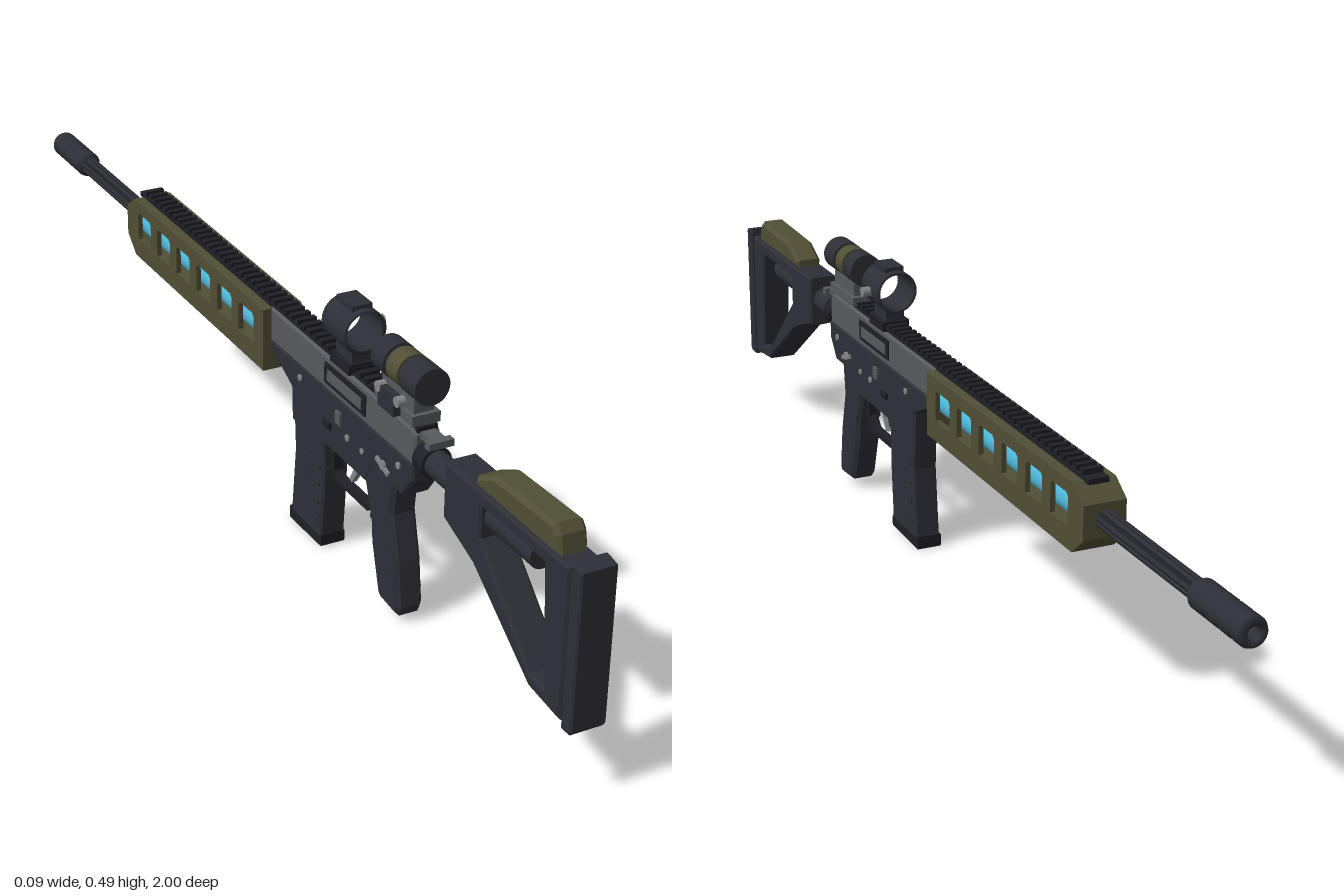
import * as THREE from 'three';

const mat = (name, color, opts = {}) => {
  const m = new THREE.MeshStandardMaterial({ color, ...opts });
  m.name = name;
  return m;
};

export function createModel() {
  const dark = mat('charcoal polymer', 0x2e2e37);
  const black = mat('black metal', 0x1f1f26);
  const olive = mat('olive', 0x504e35);
  const grey = mat('receiver grey', 0x57595d);
  const light = mat('light steel', 0x85858a);
  const blue = mat('blue tube', 0x4fb9dc);

  const root = new THREE.Group();
  root.name = 'rifle';
  const add = (name, geo, material, x = 0, y = 0, z = 0) => {
    const m = new THREE.Mesh(geo, material);
    m.name = name;
    m.position.set(x, y, z);
    root.add(m);
    return m;
  };
  const box = (name, material, w, h, d, x, y, z) => add(name, new THREE.BoxGeometry(w, h, d), material, x, y, z);
  // Side profile of [z, y] points, extruded evenly across x
  const slab = (name, material, pts, width, { holes = [], bevel = 0, x = 0 } = {}) => {
    const v = (list) => list.map(([a, b]) => new THREE.Vector2(a, b));
    const shape = new THREE.Shape(v(pts));
    holes.forEach((h) => shape.holes.push(new THREE.Path(v(h))));
    const depth = width - 2 * bevel;
    const geo = new THREE.ExtrudeGeometry(shape, {
      depth, bevelEnabled: bevel > 0, bevelSize: bevel, bevelThickness: bevel, bevelOffset: -bevel, bevelSegments: 1,
    });
    geo.translate(0, 0, -depth / 2).rotateY(-Math.PI / 2);
    return add(name, geo, material, x);
  };
  // Cylinder along z from z0 to z1
  const rod = (name, material, r, z0, z1, y, sides = 24) =>
    add(name, new THREE.CylinderGeometry(r, r, Math.abs(z1 - z0), sides).rotateX(Math.PI / 2), material, 0, y, (z0 + z1) / 2);
  // Cylinder along x
  const pin = (name, material, r, len, x, y, z, sides = 16) =>
    add(name, new THREE.CylinderGeometry(r, r, len, sides).rotateZ(Math.PI / 2), material, x, y, z);
  // Hollow tube or stepped round part along z, from [radius, z] points
  const lathe = (name, material, pts, y) =>
    add(name, new THREE.LatheGeometry(pts.map(([r, z]) => new THREE.Vector2(r, z)), 32).rotateX(Math.PI / 2), material, 0, y, 0);

  // Stock: frame with open triangle, butt pad, cheek rest, buffer tube
  slab('stockFrame', dark, [[0.967, 0.374], [0.63, 0.374], [0.63, 0.278], [0.72, 0.245], [0.885, 0.128], [0.967, 0.12]], 0.058, {
    bevel: 0.004,
    holes: [[[0.905, 0.35], [0.735, 0.35], [0.735, 0.295], [0.86, 0.175], [0.885, 0.15], [0.922, 0.147]]],
  });
  slab('buttPad', dark, [[1, 0.383], [0.973, 0.388], [0.973, 0.112], [0.994, 0.112], [1, 0.12]], 0.061, { bevel: 0.003 });
  box('buttSpacer', black, 0.05, 0.24, 0.012, 0, 0.25, 0.969);
  slab('cheekRest', olive, [[0.936, 0.372], [0.93, 0.404], [0.918, 0.418], [0.76, 0.413], [0.71, 0.388], [0.71, 0.372]], 0.051, { bevel: 0.007 });
  rod('bufferTube', dark, 0.022, 0.86, 0.52, 0.328);
  rod('bufferRing', black, 0.027, 0.56, 0.53, 0.328);

  // Upper receiver with ports on both sides and charging handle
  slab('upperReceiver', grey, [[0.53, 0.31], [0.53, 0.366], [0.52, 0.375], [0.03, 0.375], [0.03, 0.31]], 0.046, { bevel: 0.004 });
  box('chargingHandle', grey, 0.026, 0.012, 0.05, 0, 0.366, 0.548);
  box('chargingLatch', grey, 0.044, 0.012, 0.014, 0, 0.366, 0.566);
  for (const s of [-1, 1]) {
    box('portFrame', black, 0.004, 0.038, 0.14, s * 0.0235, 0.345, 0.305);
    box('portCover', grey, 0.004, 0.02, 0.116, s * 0.025, 0.344, 0.305);
  }

  // Lower receiver, grip, magazine
  slab('lowerReceiver', dark, [[0.53, 0.318], [0.035, 0.318], [0.035, 0.3], [0.115, 0.262], [0.118, 0.2], [0.235, 0.195], [0.24, 0.21],
    [0.38, 0.21], [0.4, 0.245], [0.5, 0.245], [0.53, 0.285]], 0.051, { bevel: 0.004 });
  slab('grip', dark, [[0.472, 0.26], [0.373, 0.26], [0.373, 0.215], [0.396, 0.15], [0.4, 0.11], [0.425, 0.025], [0.435, 0.018],
    [0.488, 0.014], [0.494, 0.03], [0.484, 0.11], [0.464, 0.19]], 0.048, { bevel: 0.007 });
  slab('magazine', dark, [[0.232, 0.21], [0.122, 0.21], [0.126, 0.15], [0.112, 0.012], [0.222, 0.012], [0.232, 0.13]], 0.047, { bevel: 0.004 });
  slab('magazineBase', black, [[0.224, 0.024], [0.107, 0.024], [0.107, 0], [0.224, 0.003]], 0.049, { bevel: 0.002 });
  for (let i = 0; i < 4; i++) {
    const y = 0.05 + i * 0.036;
    box('magazineRib', dark, 0.051, 0.008, 0.085, 0, y, 0.171 + i * 0.003);
    box('gripRib', dark, 0.051, 0.007, 0.05, 0, y + 0.005, 0.457 - i * 0.011).rotation.x = -0.2;
  }

  // Trigger and guard
  slab('triggerGuard', black, [[0.385, 0.222], [0.233, 0.222], [0.233, 0.152], [0.245, 0.141], [0.36, 0.141], [0.385, 0.165]], 0.018, {
    holes: [[[0.374, 0.212], [0.242, 0.212], [0.242, 0.157], [0.25, 0.15], [0.355, 0.15], [0.374, 0.17]]],
  });
  slab('trigger', light, [[0.318, 0.215], [0.302, 0.215], [0.304, 0.19], [0.29, 0.165], [0.298, 0.162], [0.314, 0.185]], 0.01);

  // Pins, selector and catches on both sides
  for (const s of [-1, 1]) {
    for (const [z, y, r] of [[0.32, 0.262, 0.006], [0.37, 0.262, 0.005], [0.488, 0.295, 0.006], [0.15, 0.295, 0.006]])
      pin('receiverPin', light, r, 0.005, s * 0.026, y, z);
    pin('selectorHub', light, 0.008, 0.008, s * 0.026, 0.272, 0.44);
    box('selectorLever', light, 0.006, 0.008, 0.042, s * 0.027, 0.27, 0.44).rotation.x = 0.3;
    box('boltCatch', grey, 0.006, 0.022, 0.018, s * 0.027, 0.285, 0.29);
    box('magazineCatch', black, 0.006, 0.012, 0.026, s * 0.027, 0.255, 0.25);
  }

  // Handguard: hollow core, windowed side plates, blue inner tube
  const guard = [[0.03, 0.372], [-0.53, 0.372], [-0.567, 0.347], [-0.567, 0.288], [-0.53, 0.256], [0.03, 0.256]];
  const hollow = [[0.02, 0.36], [-0.53, 0.36], [-0.555, 0.345], [-0.555, 0.29], [-0.53, 0.268], [0.02, 0.268]];
  const windows = [];
  for (let i = 0; i < 6; i++) {
    const c = -0.038 - i * 0.0893, w = 0.03;
    windows.push([[c - w, 0.294], [c + w, 0.294], [c + w, 0.343], [c + w - 0.006, 0.349], [c - w + 0.006, 0.349], [c - w, 0.343]]);
  }
  slab('handguardCore', olive, guard, 0.056, { holes: [hollow] });
  for (const s of [-1, 1]) slab('handguardSide', olive, guard, 0.009, { holes: windows, x: s * 0.0325 });
  rod('innerTube', blue, 0.027, 0.018, -0.553, 0.32);

  // Toothed top rail
  const rail = [[0.53, 0.37], [0.53, 0.379]];
  for (let z = 0.52; z > -0.53; z -= 0.022) rail.push([z, 0.379], [z, 0.388], [z - 0.011, 0.388], [z - 0.011, 0.379]);
  rail.push([-0.545, 0.379], [-0.545, 0.37]);
  slab('topRail', black, rail, 0.036);

  // Barrel with flutes and muzzle brake
  rod('barrel', black, 0.014, -0.55, -0.87, 0.32);
  for (let i = 0; i < 8; i++) {
    const a = (i * Math.PI) / 4 + Math.PI / 8;
    const rib = box('barrelRib', dark, 0.006, 0.006, 0.3, Math.cos(a) * 0.0145, 0.32 + Math.sin(a) * 0.0145, -0.71);
    rib.rotation.z = a;
  }
  lathe('muzzleBrake', dark, [[0, -0.85], [0.019, -0.85], [0.025, -0.862], [0.025, -0.895], [0.022, -0.897], [0.022, -0.905], [0.025, -0.907],
    [0.025, -0.93], [0.022, -0.932], [0.022, -0.94], [0.025, -0.942], [0.025, -0.965], [0.022, -0.967], [0.022, -0.975], [0.025, -0.977],
    [0.025, -0.994], [0.022, -1], [0.011, -1], [0.011, -0.97], [0, -0.97]], 0.32);

  // Rear scope on a grey clamp mount
  const sy = 0.449;
  const bell = (z0, z1) => rod('scopeBell', dark, 0.031, z0, z1, sy, 32);
  bell(0.54, 0.49);
  bell(0.44, 0.4);
  rod('scopeBody', dark, 0.027, 0.5, 0.43, sy, 32);
  rod('scopeBand', olive, 0.0305, 0.482, 0.448, sy, 32);
  box('scopeMount', grey, 0.036, 0.04, 0.1, 0, 0.402, 0.467);
  box('scopeMountFoot', grey, 0.05, 0.018, 0.12, 0, 0.388, 0.465);
  box('clampLever', dark, 0.013, 0.036, 0.05, -0.033, 0.402, 0.465);
  pin('clampKnob', light, 0.009, 0.014, -0.034, 0.415, 0.5);
  pin('clampKnob', light, 0.009, 0.014, -0.034, 0.415, 0.44);

  // Open ring sight with cap, side knob and base
  lathe('sightRing', dark, [[0.033, 0.325], [0.039, 0.325], [0.039, 0.25], [0.033, 0.25], [0.033, 0.325]], sy).material = dark;
  box('sightCap', dark, 0.036, 0.014, 0.055, 0, 0.487, 0.288);
  box('sightNeck', dark, 0.036, 0.03, 0.055, 0, 0.399, 0.288);
  box('sightFoot', black, 0.052, 0.018, 0.065, 0, 0.384, 0.288);
  pin('sightKnob', light, 0.009, 0.018, 0.0445, 0.446, 0.288);

  // Lathe shells are seen from inside as well
  dark.side = THREE.DoubleSide;
  root.position.x = -0.0065;
  const model = new THREE.Group();
  model.name = 'model';
  model.add(root);
  return model;
}
